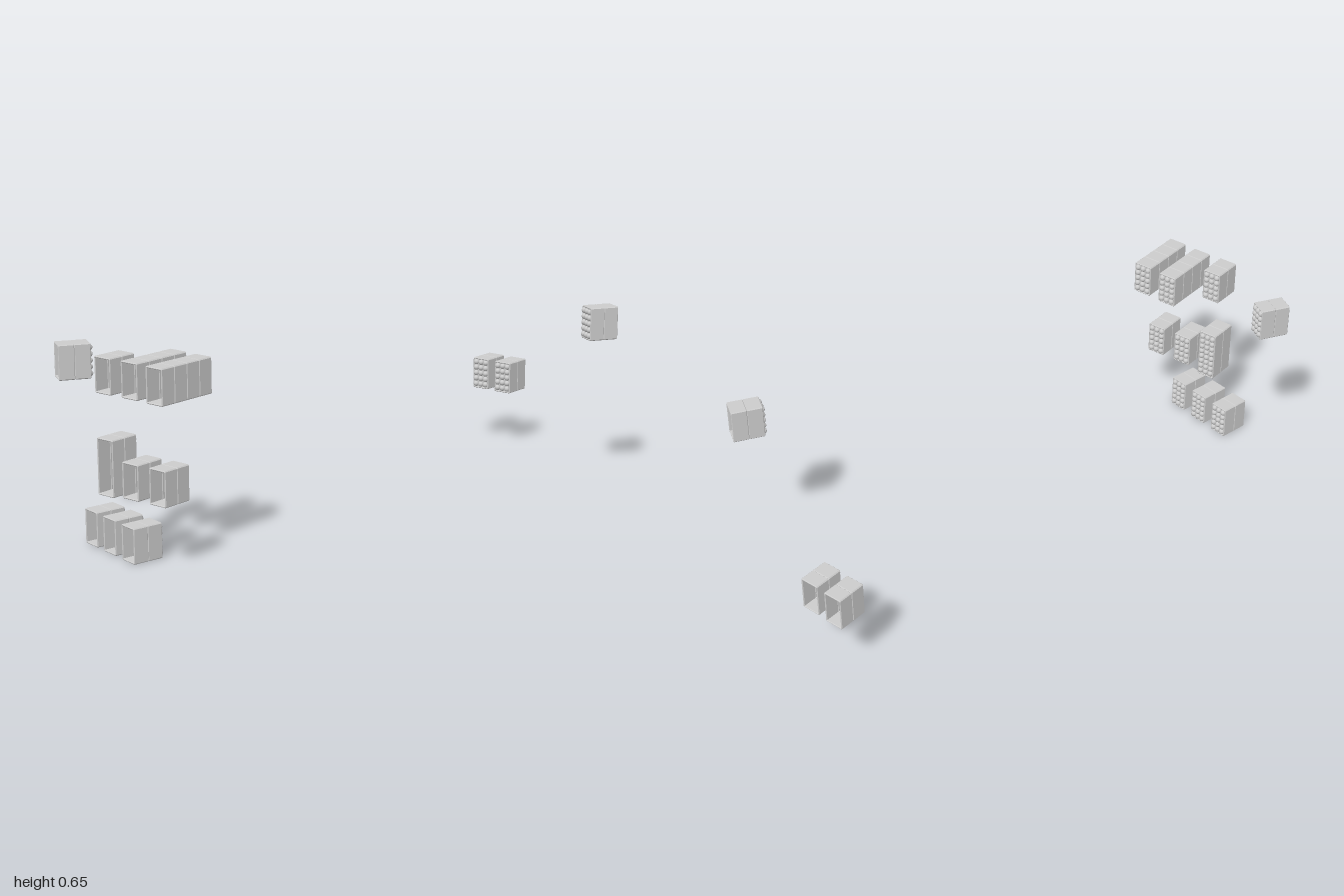
import * as THREE from 'three';

const material = new THREE.MeshStandardMaterial({ color: 0xcccccc, flatShading: true });
const smooth = new THREE.MeshStandardMaterial({ color: 0xcccccc });

const WIDTH = 0.07, WALL = 0.005, BEVEL = 0.002, PITCH = 0.0215;
const STUD = 0.0105;      // stud radius
const STUD_OUT = 0.008;   // how far studs stand out behind the case

// Rectangle centred on the origin, with cut corners
function cutRect(path, w, h, c) {
  const x = w / 2, y = h / 2;
  path.moveTo(-x + c, -y);
  path.lineTo(x - c, -y);
  path.lineTo(x, -y + c);
  path.lineTo(x, y - c);
  path.lineTo(x - c, y);
  path.lineTo(-x + c, y);
  path.lineTo(-x, y - c);
  path.lineTo(-x, -y + c);
  path.closePath();
  return path;
}

// One bevelled hollow ring of the case, its back at z = 0
function ringGeometry(height, depth) {
  const w = WIDTH - 2 * BEVEL, h = height - 2 * BEVEL;
  const shape = cutRect(new THREE.Shape(), w, h, 0.002);
  shape.holes.push(cutRect(new THREE.Path(), WIDTH - 2 * WALL + 2 * BEVEL - 0.001, height - 2 * WALL + 2 * BEVEL - 0.001, 0.001));
  const geo = new THREE.ExtrudeGeometry(shape, {
    depth: depth - 2 * BEVEL, bevelEnabled: true,
    bevelThickness: BEVEL, bevelSize: BEVEL, bevelSegments: 1,
  });
  return geo.translate(0, 0, BEVEL);
}

const studGeometry = new THREE.SphereGeometry(STUD, 14, 10);

// Open case facing +z, rings along its depth and a grid of round studs behind
function makeCase(name, height, depth, rings, rows) {
  const group = new THREE.Group();
  group.name = name;
  const add = (part, geo, mat, x, y, z) => {
    const mesh = new THREE.Mesh(geo, mat);
    mesh.name = part;
    mesh.position.set(x, y, z);
    group.add(mesh);
  };

  const back = -depth / 2 + STUD_OUT;
  const step = (depth - STUD_OUT) / rings;
  const ring = ringGeometry(height, step);
  for (let i = 0; i < rings; i++) add('caseRing', ring, material, 0, 0, back + i * step);

  // Panel closing the back, set slightly inside the rim
  const panel = new THREE.BoxGeometry(WIDTH - WALL, height - WALL, 0.005);
  add('backPanel', panel, material, 0, 0, back + 0.0045);

  for (let r = 0; r < rows; r++) {
    for (let c = 0; c < 3; c++) {
      add('stud', studGeometry, smooth,
        (c - 1) * PITCH, (r - (rows - 1) / 2) * PITCH, back - STUD_OUT + STUD);
    }
  }
  return group;
}

const KINDS = {
  small: [0.118, 0.115, 2, 5],
  tall: [0.187, 0.115, 2, 8],
  long: [0.118, 0.23, 4, 5],
};

// name, kind, x, y, z, turn in degrees
const LAYOUT = [
  ['lowerCase', 'small', -0.033, 0.06, 0.925, 5],
  ['lowerCase', 'small', 0.075, 0.06, 0.918, 5],
  ['lowerCase', 'small', 0.185, 0.06, 0.912, 5],
  ['tallCase', 'tall', 0.079, 0.291, 0.935, 16],
  ['middleCase', 'small', 0.189, 0.267, 0.908, 16],
  ['middleCase', 'small', 0.297, 0.267, 0.873, 16],
  ['upperCase', 'small', 0.079, 0.588, 0.935, 16],
  ['upperLongCase', 'long', 0.171, 0.588, 0.846, 16],
  ['upperLongCase', 'long', 0.279, 0.588, 0.82, 16],
  ['rightSideCase', 'small', -0.205, 0.576, 0.933, -16],
  ['rearCase', 'small', -0.329, 0.267, -0.911, 196],
  ['rearCase', 'small', -0.229, 0.267, -0.935, 196],
  ['rearUpperCase', 'small', 0.327, 0.575, -0.873, 164],
];

export function createModel() {
  const model = new THREE.Group();
  model.name = 'suspendedCases';
  for (const [name, kind, x, y, z, turn] of LAYOUT) {
    const item = makeCase(name, ...KINDS[kind]);
    item.position.set(x, y, z);
    item.rotation.y = THREE.MathUtils.degToRad(turn);
    model.add(item);
  }
  return model;
}
